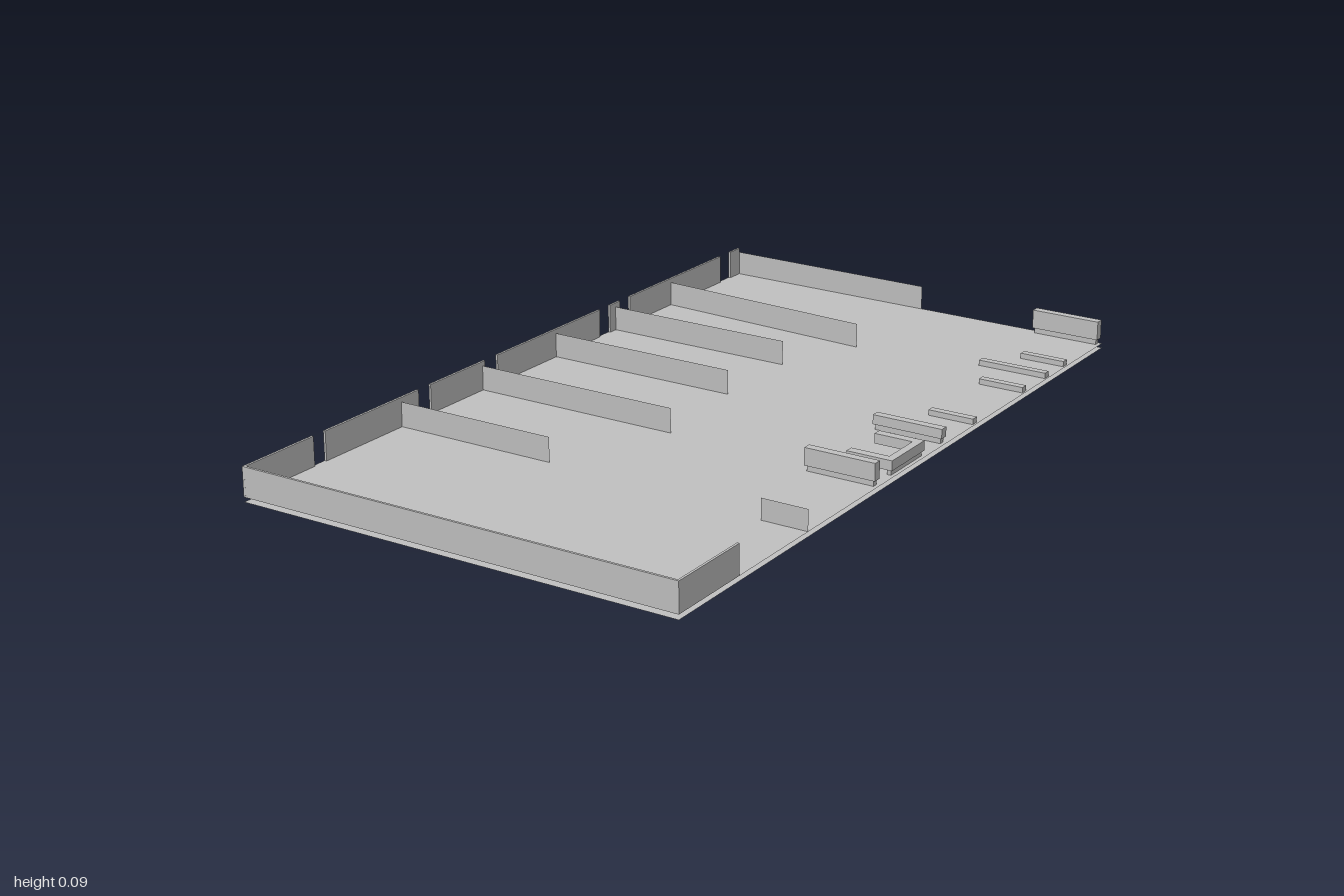
import * as THREE from 'three';

const FLOOR = 0.012, WALL_TOP = 0.086, PART_TOP = 0.075;

export function createModel() {
  const model = new THREE.Group();
  model.name = 'floorPlan';
  const gray = new THREE.MeshStandardMaterial({ color: 0xc0c0c0, side: THREE.DoubleSide });
  gray.name = 'plainGray';

  const add = (name, geometry) => {
    const mesh = new THREE.Mesh(geometry, gray);
    mesh.name = name;
    model.add(mesh);
    return mesh;
  };
  // Flat sheet from an outline of [x, z] points
  const sheet = (name, pts, y) => {
    const shape = new THREE.Shape(pts.map(([x, z]) => new THREE.Vector2(x, -z)));
    add(name, new THREE.ShapeGeometry(shape).rotateX(-Math.PI / 2).translate(0, y, 0));
  };
  // Box given by its limits
  const block = (name, x0, x1, y0, y1, z0, z1) =>
    add(name, new THREE.BoxGeometry(x1 - x0, y1 - y0, z1 - z0)
      .translate((x0 + x1) / 2, (y0 + y1) / 2, (z0 + z1) / 2));
  // Upright wall between two floor points; zero thickness gives a single plane
  const wall = (name, x0, z0, x1, z1, top, t = 0) => {
    const len = Math.hypot(x1 - x0, z1 - z0), h = top - FLOOR;
    const mesh = add(name, t ? new THREE.BoxGeometry(len, h, t) : new THREE.PlaneGeometry(len, h));
    mesh.position.set((x0 + x1) / 2, FLOOR + h / 2, (z0 + z1) / 2);
    mesh.rotation.y = -Math.atan2(z1 - z0, x1 - x0);
  };
  // The outer wall on the right runs slightly askew
  const sideX = (z) => -0.5575 - 0.0225 * z;

  // Ground sheet, room floor and corridor floor
  sheet('groundSheet', [[-0.58, 1], [0.58, 1], [0.58, -1], [-0.535, -1]], 0);
  const corridor = [
    [0.05, -1], [0.05, -0.67], [0.04, -0.67], [0.04, -0.41], [0.065, -0.41], [0.065, -0.15],
    [0.05, -0.15], [0.05, 0.15], [0, 0.15], [0, 0.405], [0.08, 0.405], [0.08, 0.46],
    [-0.13, 0.46], [-0.13, 0.72], [-0.14, 0.72], [-0.14, 0.77], [0.39, 0.775], [0.39, 0.585],
    [0.345, 0.585], [0.345, 0.405], [0.39, 0.405], [0.39, -1],
  ];
  sheet('corridorFloor', corridor, FLOOR);
  sheet('roomFloor', [[-0.535, -1], ...corridor, [0.58, -1], [0.58, 1], [-0.58, 1]], FLOOR);

  // Outer walls, with gaps for the window openings
  const t = 0.006;
  for (const [a, b] of [[1, 0.77], [0.73, 0.395], [0.35, 0.14], [0.09, -0.34],
    [-0.385, -0.43], [-0.475, -0.905], [-0.955, -1]]) {
    wall('sideWall', sideX(a) + t / 2, a, sideX(b) + t / 2, b, WALL_TOP, t);
  }
  wall('frontWall', -0.58, 1 - t / 2, 0.58, 1 - t / 2, WALL_TOP, t);
  wall('cornerWall', 0.58 - t / 2, 1, 0.58 - t / 2, 0.77, WALL_TOP, t);
  wall('backWall', -0.535, -1, 0.05, -0.998, PART_TOP);

  // Room partitions: z at the outer wall, then x and z of the inner end
  for (const [z0, x1, z1] of [[0.46, -0.13, 0.46], [0.15, 0, 0.15], [-0.15, -0.03, -0.15],
    [-0.41, -0.03, -0.41], [-0.665, 0.06, -0.63]]) {
    wall('partition', sideX(z0), z0, x1, z1, PART_TOP);
  }
  wall('shortPartition', 0.46, 0.49, 0.58, 0.49, 0.065);

  // Low rails along the open side
  for (const [x, z] of [[0.455, -0.79], [0.39, -0.685], [0.455, -0.56], [0.455, -0.297]]) {
    block('lowRail', x, 0.575, FLOOR, 0.026, z - 0.01, z + 0.01);
  }
  // Taller dividers, each on a narrower foot
  for (const [z, top] of [[-0.989, 0.075], [-0.14, 0.05], [0.178, 0.07]]) {
    block('divider', 0.39, 0.575, 0.026, top, z - 0.011, z + 0.011);
    block('dividerFoot', 0.395, 0.57, FLOOR, 0.026, z - 0.007, z + 0.007);
  }
  // U-shaped counter
  block('counterArm', 0.455, 0.575, 0.025, 0.05, -0.045, -0.022);
  block('counterArm', 0.455, 0.575, 0.025, 0.05, 0.087, 0.11);
  block('counterSpine', 0.555, 0.575, 0.025, 0.05, -0.022, 0.087);
  block('counterFoot', 0.56, 0.57, FLOOR, 0.025, -0.04, 0.105);

  return model;
}
